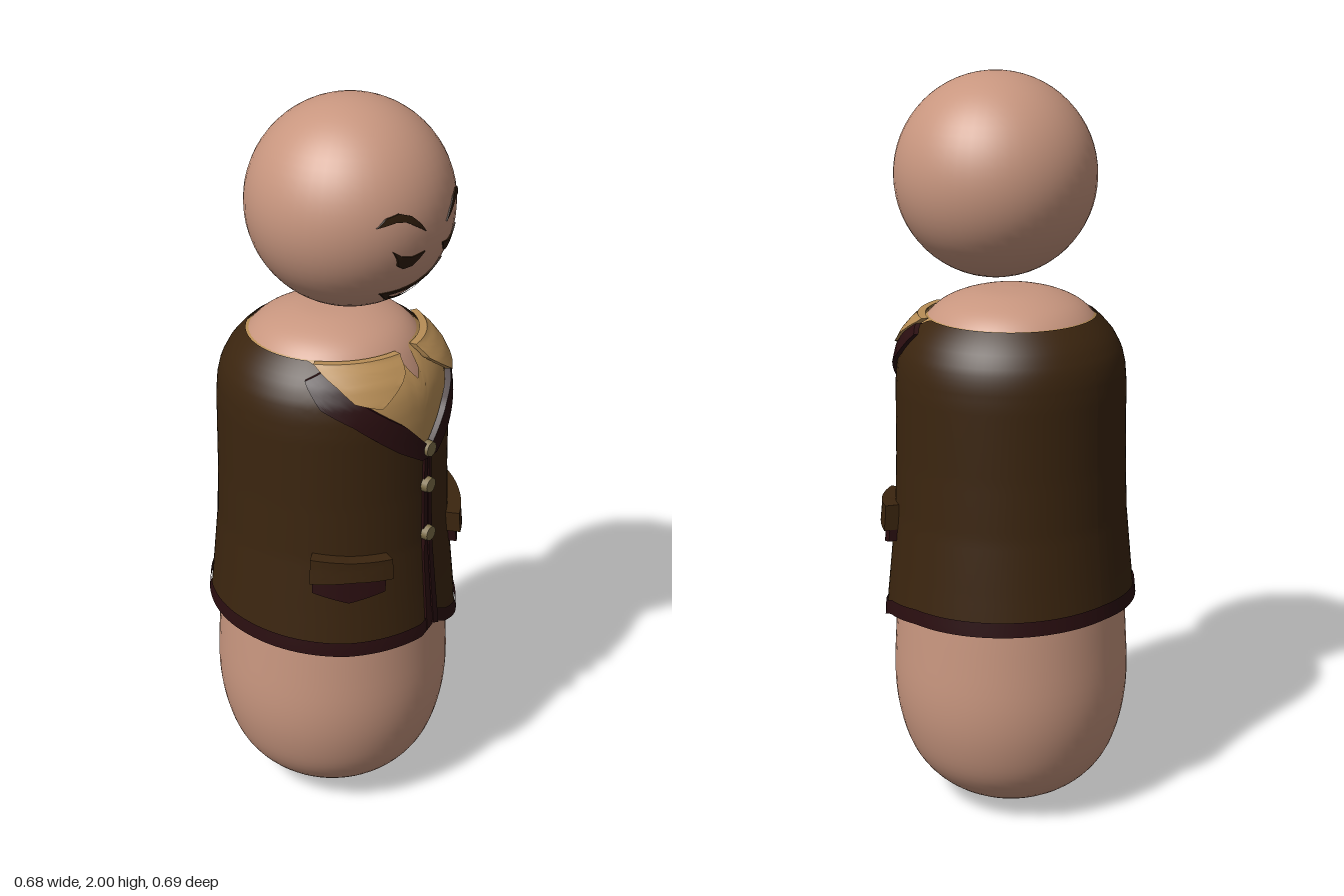
import * as THREE from 'three';
import { toCreasedNormals } from 'three/addons/utils/BufferGeometryUtils.js';

const mat = (name, color, side = THREE.FrontSide) => new THREE.MeshStandardMaterial({ name, color, side });

// Piecewise linear lookup through [key, value] pairs
function lookup(table, k) {
  if (k <= table[0][0]) return table[0][1];
  for (let i = 1; i < table.length; i++) {
    const [k0, v0] = table[i - 1], [k1, v1] = table[i];
    if (k <= k1) return v0 + (v1 - v0) * (k - k0) / (k1 - k0);
  }
  return table[table.length - 1][1];
}

// Jacket radius by height; angles are measured from the front (+z) towards +x
const JACKET = [[0.52, 0.342], [0.6, 0.337], [0.7, 0.327], [0.85, 0.313], [1.0, 0.308], [1.2, 0.306],
  [1.25, 0.302], [1.29, 0.293], [1.33, 0.272], [1.36, 0.247], [1.38, 0.225]];
const radius = y => lookup(JACKET, y);
const neckline = a => lookup([[0, 1.12], [0.28, 1.21], [0.635, 1.285], [1.0, 1.36], [1.15, 1.38]], Math.abs(a));
const hem = a => lookup([[-3.14, 0.61], [-1.6, 0.595], [-0.8, 0.58], [-0.1, 0.58], [0.0, 0.61], [0.05, 0.6],
  [0.2, 0.572], [0.45, 0.542], [0.65, 0.528], [0.85, 0.54], [1.1, 0.575], [1.5, 0.595], [3.14, 0.61]], a);

// Sheet around the body between two height functions
function shell(low, high, offset, rows) {
  const g = new THREE.PlaneGeometry(1, 1, 96, rows), p = g.attributes.position;
  for (let i = 0; i < p.count; i++) {
    const a = p.getX(i) * Math.PI * 2;
    const y = THREE.MathUtils.lerp(low(a), high(a), p.getY(i) + 0.5);
    const r = radius(y) + offset;
    p.setXYZ(i, r * Math.sin(a), y, r * Math.cos(a));
  }
  g.computeVertexNormals();
  return g;
}

// Extruded outline, subdivided and bent by a mapping rule
function bentPlate(points, depth, bend, hole, levels = 3) {
  const shape = new THREE.Shape(points.map(p => new THREE.Vector2(...p)));
  if (hole) shape.holes.push(new THREE.Path(hole.map(p => new THREE.Vector2(...p))));
  const src = new THREE.ExtrudeGeometry(shape, { depth, bevelEnabled: false }).attributes.position;
  let verts = [];
  for (let i = 0; i < src.count; i++) verts.push(new THREE.Vector3().fromBufferAttribute(src, i));
  for (let l = 0; l < levels; l++) {
    const next = [];
    for (let i = 0; i < verts.length; i += 3) {
      const [a, b, c] = verts.slice(i, i + 3);
      const ab = a.clone().lerp(b, 0.5), bc = b.clone().lerp(c, 0.5), ca = c.clone().lerp(a, 0.5);
      next.push(a, ab, ca, ab, b, bc, ca, bc, c, ab, bc, ca);
    }
    verts = next;
  }
  const g = new THREE.BufferGeometry().setFromPoints(verts.map(bend));
  return toCreasedNormals(g, 0.7);
}

// Points are [angle, height]; the plate sits on the jacket
const onJacket = (points, base, depth) => bentPlate(points, depth, v => {
  const r = radius(v.y) + base + v.z;
  return new THREE.Vector3(r * Math.sin(v.x), v.y, r * Math.cos(v.x));
});

// Points are [x, y] seen from the front; the plate sits on the head
const HEAD = new THREE.Vector3(0, 1.736, 0.055), HEAD_R = 0.265;
const onHead = (points, hole) => bentPlate(points, 0.004, v => {
  const dy = v.y - HEAD.y, r = HEAD_R + v.z - 0.001;
  return new THREE.Vector3(v.x, v.y, HEAD.z + Math.sqrt(Math.max(0, r * r - v.x * v.x - dy * dy)));
}, hole, 2);

export function createModel() {
  const model = new THREE.Group();
  model.name = 'jacketFigure';
  const skin = mat('skin', 0xc8967f);
  const brown = mat('jacketBrown', 0x3b250f, THREE.DoubleSide);
  const maroon = mat('trimMaroon', 0x2a0e10, THREE.DoubleSide);
  const gold = mat('shirtGold', 0xb88e56, THREE.DoubleSide);
  const brass = mat('buttonBrass', 0x80704a);
  const ink = mat('faceInk', 0x2f1d0c);
  const add = (name, geometry, material) => {
    const m = new THREE.Mesh(geometry, material);
    m.name = name;
    model.add(m);
    return m;
  };
  const flip = pts => pts.map(([x, y]) => [-x, y]);
  const pair = (name, build, pts, material) => {
    add(name + 'Left', build(pts), material);
    add(name + 'Right', build(flip(pts)), material);
  };

  // Head and body
  add('head', new THREE.SphereGeometry(HEAD_R, 48, 32), skin).position.copy(HEAD);
  const profile = new THREE.SplineCurve([[0, 0], [0.1, 0.014], [0.2, 0.065], [0.268, 0.14], [0.306, 0.24],
    [0.322, 0.36], [0.316, 0.52], [0.304, 0.7], [0.29, 0.9], [0.284, 1.18], [0.27, 1.27], [0.245, 1.335],
    [0.213, 1.385], [0.165, 1.42], [0.09, 1.444], [0, 1.45]].map(p => new THREE.Vector2(...p))).getPoints(64);
  profile.forEach(p => { p.x = Math.max(0, p.x); });
  add('body', new THREE.LatheGeometry(profile, 64), skin);

  // Shirt with a small notch at the throat
  add('shirt', shell(() => 1.08, a => lookup([[0.03, 1.31], [0.14, 1.38]], Math.abs(a)), -0.008, 16), gold);

  // Jacket, hem trim and front edges
  add('jacket', shell(hem, neckline, 0, 48), brown);
  add('hemTrim', shell(a => hem(a) - 0.002, a => hem(a) + 0.038, 0.005, 4), maroon);
  pair('frontEdge', p => onJacket(p, -0.004, 0.011),
    [[0.008, 0.6], [0.075, 0.59], [0.06, 0.85], [0.045, 1.12], [0.008, 1.12]], maroon);

  // Lapels and collar flaps
  pair('lapel', p => onJacket(p, -0.004, 0.016), [[0.01, 1.13], [0.28, 1.215], [0.635, 1.29], [1.0, 1.365],
    [1.16, 1.345], [1.0, 1.285], [0.74, 1.24], [0.35, 1.148], [0.1, 1.1], [0.01, 1.1]], maroon);
  pair('collar', p => onJacket(p, 0, 0.02), [[1.1, 1.382], [0.85, 1.335], [0.72, 1.3], [0.5, 1.28],
    [0.3, 1.32], [0.19, 1.345], [0.14, 1.382]], gold);

  // Pockets with overhanging flaps
  pair('pocket', p => onJacket(p, -0.003, 0.024),
    [[0.47, 0.83], [1.06, 0.83], [1.06, 0.775], [0.78, 0.745], [0.49, 0.765]], maroon);
  pair('pocketFlap', p => onJacket(p, -0.003, 0.04),
    [[0.44, 0.862], [0.75, 0.868], [1.07, 0.878], [1.07, 0.808], [0.75, 0.812], [0.44, 0.805]], brown);

  // Buttons
  for (const y of [0.877, 1.02, 1.125]) {
    const b = add('button', new THREE.CylinderGeometry(0.02, 0.022, 0.018, 12), brass);
    b.rotation.x = Math.PI / 2;
    b.position.set(-0.004, y, radius(y) + 0.011);
  }

  // Face
  pair('eyebrow', p => onHead(p), [[0.165, 1.757], [0.145, 1.778], [0.115, 1.786], [0.085, 1.775], [0.06, 1.752],
    [0.042, 1.728], [0.075, 1.748], [0.1, 1.763], [0.125, 1.766]], ink);
  pair('eye', p => onHead(p), [[0.128, 1.692], [0.105, 1.676], [0.075, 1.668], [0.036, 1.674], [0.052, 1.655],
    [0.066, 1.641], [0.09, 1.638], [0.108, 1.65], [0.113, 1.668]], ink);
  add('mouth', onHead(
    [[-0.105, 1.562], [-0.06, 1.563], [-0.01, 1.57], [0.045, 1.587], [0.09, 1.612], [0.096, 1.545],
      [0.045, 1.53], [-0.01, 1.524], [-0.06, 1.528]],
    [[-0.075, 1.55], [-0.01, 1.555], [0.045, 1.571], [0.079, 1.59], [0.082, 1.555], [0.04, 1.545],
      [-0.01, 1.538], [-0.055, 1.54]]), ink);

  return model;
}
